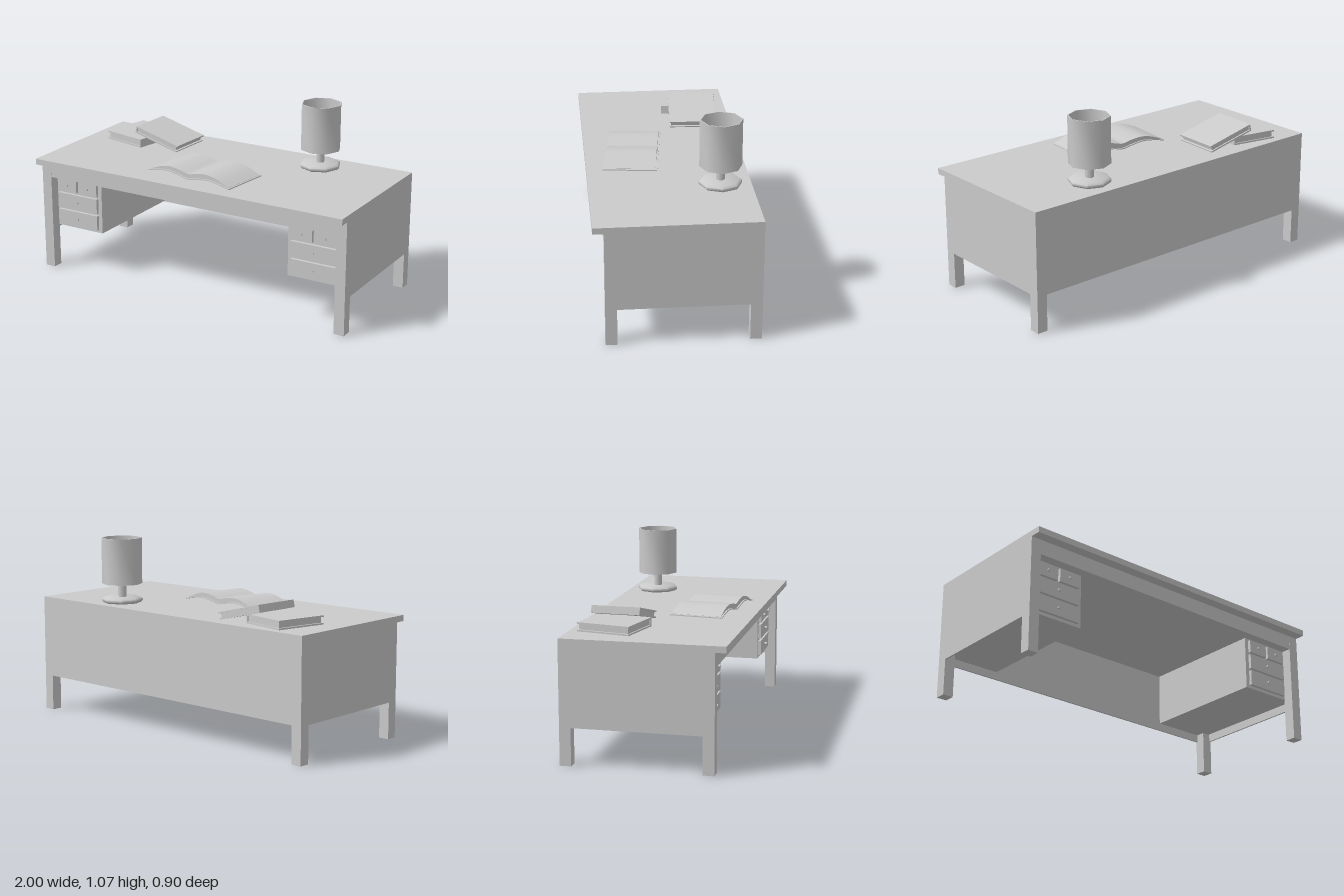
import * as THREE from 'three';
import { toCreasedNormals } from 'three/addons/utils/BufferGeometryUtils.js';

const material = new THREE.MeshStandardMaterial({ color: 0xcccccc });

function add(parent, name, geometry) {
  const mesh = new THREE.Mesh(geometry, material);
  mesh.name = name;
  parent.add(mesh);
  return mesh;
}

// Box given by its extents on each axis
function box(parent, name, [x0, x1], [y0, y1], [z0, z1]) {
  const mesh = add(parent, name, new THREE.BoxGeometry(Math.abs(x1 - x0), y1 - y0, z1 - z0));
  mesh.position.set((x0 + x1) / 2, (y0 + y1) / 2, (z0 + z1) / 2);
  return mesh;
}

function group(parent, name) {
  const g = new THREE.Group();
  g.name = name;
  parent.add(g);
  return g;
}

// Drawer stack on one side (s = 1 or -1)
function drawerUnit(parent, s) {
  const unit = group(parent, s > 0 ? 'leftDrawerUnit' : 'rightDrawerUnit');
  box(unit, 'drawerCabinet', [s * 0.62, s * 0.985], [0.255, 0.6], [-0.437, 0.33]);
  const fronts = [
    [0.645, 0.775, 0.48, 0.557], [0.79, 0.92, 0.48, 0.557],
    [0.645, 0.92, 0.377, 0.467], [0.645, 0.92, 0.273, 0.363],
  ];
  for (const [x0, x1, y0, y1] of fronts) {
    box(unit, 'drawerFront', [s * x0, s * x1], [y0, y1], [0.32, 0.348]);
    const knob = add(unit, 'drawerKnob', new THREE.CylinderGeometry(0.01, 0.007, 0.016, 8));
    knob.rotation.x = Math.PI / 2;
    knob.position.set(s * (x0 + x1) / 2, (y0 + y1) / 2, 0.355);
  }
}

// Closed book centred on its own origin, spine towards -x
function closedBook(parent, name, w, h, d) {
  const book = group(parent, name);
  const c = 0.009;
  box(book, 'topCover', [-w / 2, w / 2], [h / 2 - c, h / 2], [-d / 2, d / 2]);
  box(book, 'bottomCover', [-w / 2, w / 2], [-h / 2, -h / 2 + c], [-d / 2, d / 2]);
  box(book, 'spine', [-w / 2, -w / 2 + c], [-h / 2 + c, h / 2 - c], [-d / 2, d / 2]);
  box(book, 'pages', [-w / 2 + c, w / 2 - 0.012], [-h / 2 + c, h / 2 - c], [-d / 2 + 0.008, d / 2 - 0.008]);
  return book;
}

// Smooth slab between an upper and a lower curve, extruded along z
function curvedSlab(upper, lower, depth) {
  const sample = (pts) => new THREE.SplineCurve(pts.map(([x, y]) => new THREE.Vector2(x, y))).getPoints(28);
  const outline = [...sample(lower), ...sample(upper).reverse()];
  const geo = new THREE.ExtrudeGeometry(new THREE.Shape(outline), { depth, bevelEnabled: false });
  geo.translate(0, 0, -depth / 2);
  return toCreasedNormals(geo, 0.6);
}

// Eight-sided turned part, smooth around and sharp at the rims
function turned(profile) {
  const points = profile.map(([x, y]) => new THREE.Vector2(x, y));
  return toCreasedNormals(new THREE.LatheGeometry(points, 8), 0.9);
}

export function createModel() {
  const model = new THREE.Group();
  model.name = 'writingDesk';

  // Desk frame
  const desk = group(model, 'desk');
  box(desk, 'tabletop', [-1, 1], [0.655, 0.69], [-0.447, 0.45]);
  box(desk, 'apronBlock', [-0.99, 0.99], [0.57, 0.655], [-0.437, 0.389]);
  box(desk, 'backPanel', [-1, 1], [0.21, 0.655], [-0.447, -0.437]);
  for (const s of [-1, 1]) {
    box(desk, 'sidePanel', [s * 0.99, s * 1], [0.21, 0.655], [-0.44, 0.36]);
    box(desk, 'frontLeg', [s * 0.938, s * 1], [0, 0.655], [0.327, 0.39]);
    box(desk, 'backLeg', [s * 0.938, s * 1], [0, 0.655], [-0.447, -0.384]);
    drawerUnit(desk, s);
  }

  // Table lamp with an open shade
  const lamp = group(model, 'lamp');
  lamp.position.set(0.5, 0.69, -0.275);
  add(lamp, 'lampBase', turned([[0, 0], [0.112, 0], [0.12, 0.008], [0.12, 0.02], [0.105, 0.031], [0, 0.031]]));
  add(lamp, 'lampStem', new THREE.CylinderGeometry(0.024, 0.024, 0.15, 8)).position.y = 0.1;
  add(lamp, 'lampShade', turned([[0.118, 0.11], [0.118, 0.38], [0.112, 0.38], [0.112, 0.11], [0.118, 0.11]]));

  // Two closed books, one leaning on the other
  const lower = closedBook(model, 'lowerBook', 0.28, 0.05, 0.306);
  lower.position.set(-0.70, 0.715, -0.222);
  lower.rotation.y = Math.PI - 0.197;
  const leaning = closedBook(model, 'leaningBook', 0.312, 0.042, 0.275);
  leaning.position.set(-0.498, 0.745, -0.222);
  leaning.rotation.set(0, -0.054, -0.24);

  // Open book
  const open = group(model, 'openBook');
  open.position.set(-0.01, 0.69, 0.172);
  open.rotation.y = -0.12;
  const cover = [[-0.29, 0.001], [-0.22, 0.016], [-0.14, 0.024], [-0.06, 0.013], [0, 0.002],
    [0.06, 0.013], [0.14, 0.024], [0.22, 0.016], [0.29, 0.001]];
  const coverTop = cover.map(([x, y]) => [x, y + 0.006]);
  const pagesTop = [[-0.282, 0.01], [-0.21, 0.038], [-0.14, 0.052], [-0.06, 0.045], [0, 0.033],
    [0.05, 0.045], [0.12, 0.055], [0.2, 0.043], [0.282, 0.01]];
  const pagesBottom = cover.map(([x, y]) => [x * 0.972, y + 0.004]);
  add(open, 'openCover', curvedSlab(coverTop, cover, 0.305));
  add(open, 'openPages', curvedSlab(pagesTop, pagesBottom, 0.288));

  return model;
}
